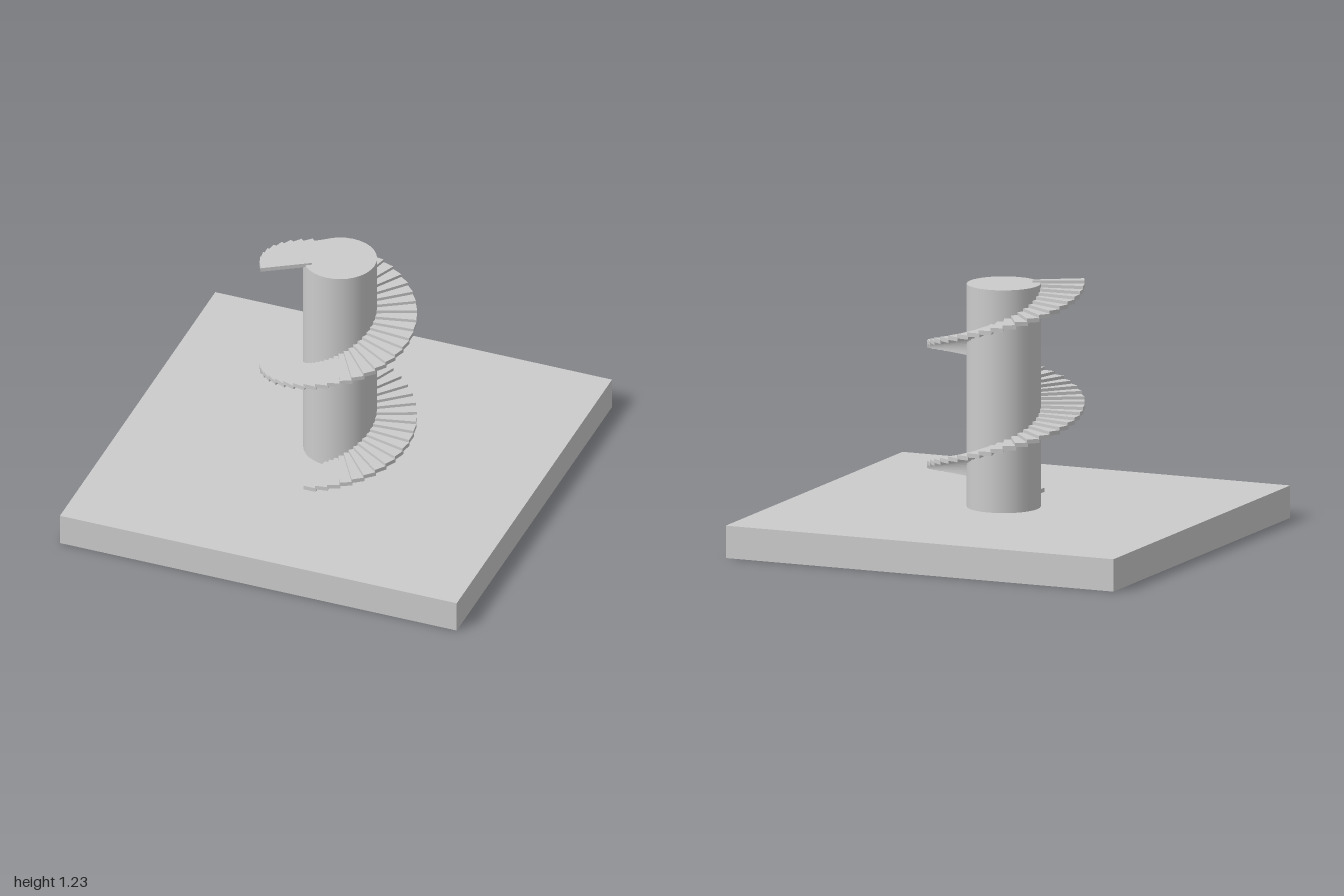
import * as THREE from 'three';

const material = new THREE.MeshStandardMaterial({ color: 0xcccccc });

export function createModel() {
  const model = new THREE.Group();
  model.name = 'spiralStaircase';

  const add = (name, geometry, x, y, z, parent = model) => {
    const mesh = new THREE.Mesh(geometry, material);
    mesh.name = name;
    mesh.position.set(x, y, z);
    parent.add(mesh);
    return mesh;
  };

  // Square ground slab
  const slabHeight = 0.155;
  add('baseSlab', new THREE.BoxGeometry(2, slabHeight, 2), 0, slabHeight / 2, 0);

  // Central column
  const columnTop = 1.22;
  const columnHeight = columnTop - slabHeight;
  add('column', new THREE.CylinderGeometry(0.174, 0.174, columnHeight, 32),
    0.012, slabHeight + columnHeight / 2, -0.022);

  // One thin wedge tread, pointing along +z with its top face at y = 0
  const stepCount = 74;
  const turn = THREE.MathUtils.degToRad(9);
  const inner = 0.125, outer = 0.369;
  const half = Math.tan(turn * 0.54);
  const outline = new THREE.Shape([
    new THREE.Vector2(-inner * half, inner),
    new THREE.Vector2(inner * half, inner),
    new THREE.Vector2(outer * half, outer),
    new THREE.Vector2(-outer * half, outer),
  ]);
  const tread = new THREE.ExtrudeGeometry(outline, { depth: 0.02, bevelEnabled: false });
  tread.rotateX(Math.PI / 2);

  // Treads winding up from the front, round by +x
  const stairs = new THREE.Group();
  stairs.name = 'stairs';
  stairs.position.set(0.015, 0, 0.009);
  model.add(stairs);
  const firstTop = 0.175, lastTop = 1.23;
  const rise = (lastTop - firstTop) / (stepCount - 1);
  for (let i = 0; i < stepCount; i++) {
    add('step', tread, 0, firstTop + i * rise, 0, stairs).rotation.y = i * turn;
  }

  return model;
}
